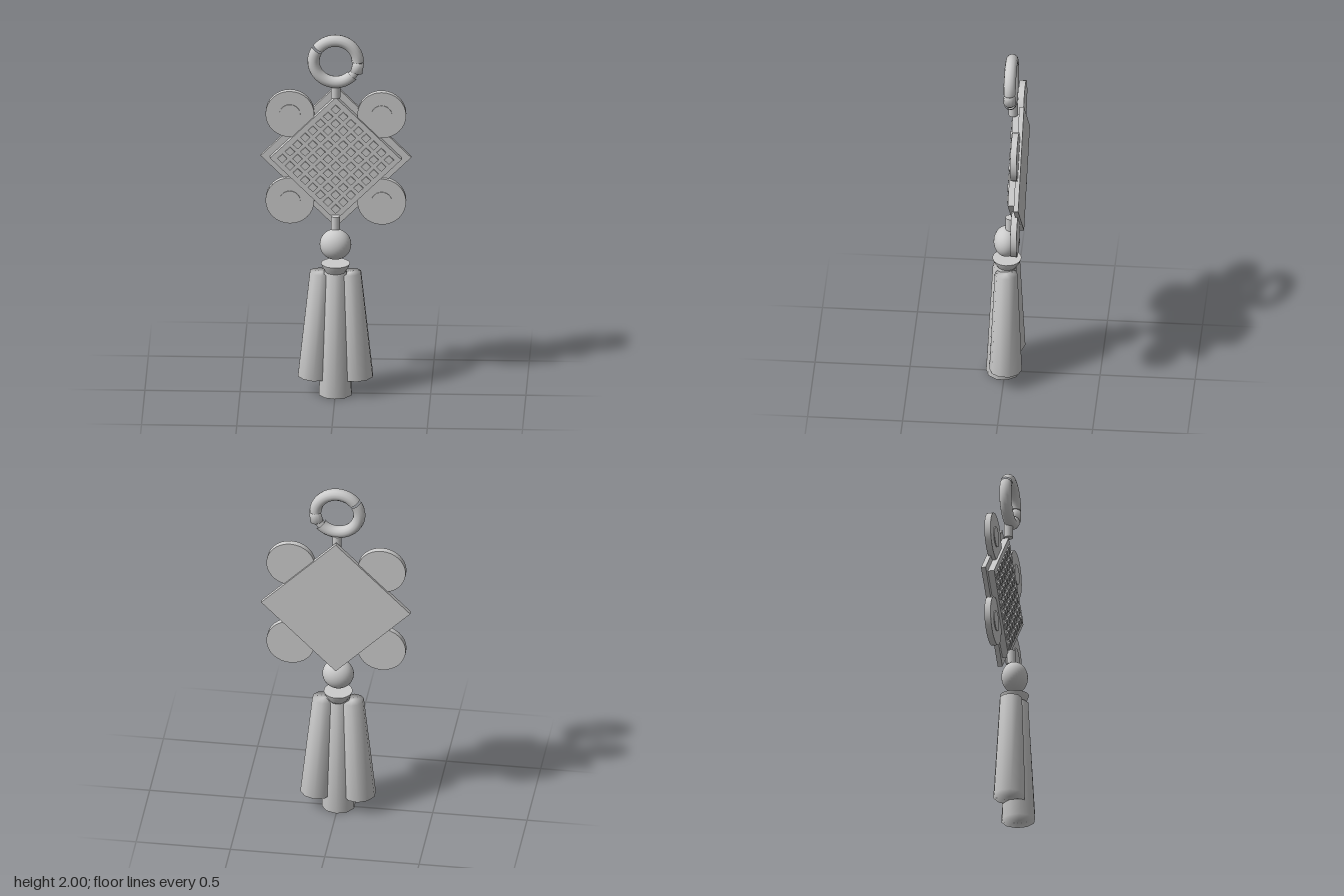
import * as THREE from 'three';
import { mergeVertices } from 'three/addons/utils/BufferGeometryUtils.js';

const grey = new THREE.MeshStandardMaterial({ color: 0xcccccc });
grey.name = 'plain grey';

export function createModel() {
  const group = new THREE.Group();
  group.name = 'tasselCharm';

  const add = (name, geometry, x, y, z, parent = group) => {
    const mesh = new THREE.Mesh(geometry, grey);
    mesh.name = name;
    mesh.position.set(x, y, z);
    parent.add(mesh);
    return mesh;
  };
  // Shares normals across the rims for soft ends
  const soften = (geometry) => {
    geometry.deleteAttribute('normal');
    geometry.deleteAttribute('uv');
    const merged = mergeVertices(geometry, 1e-4);
    merged.computeVertexNormals();
    return merged;
  };

  // Diamond panel: back plate, raised face and a grid of small studs
  const panel = new THREE.Group();
  panel.name = 'diamondPanel';
  panel.position.y = 1.3;
  panel.rotation.z = Math.PI / 4;
  group.add(panel);
  add('backPlate', new THREE.BoxGeometry(0.559, 0.559, 0.025), 0, 0, -0.0875, panel);
  add('raisedFace', new THREE.BoxGeometry(0.488, 0.488, 0.035), 0, 0, -0.0585, panel);
  const stud = new THREE.BoxGeometry(0.036, 0.036, 0.012);
  const count = 8, pitch = 0.0565;
  for (let i = 0; i < count; i++) {
    for (let j = 0; j < count; j++) {
      add('stud', stud, (i - 3.5) * pitch, (j - 3.5) * pitch, -0.039, panel);
    }
  }

  // Four round lobes with raised centres
  const disc = new THREE.CylinderGeometry(0.128, 0.128, 0.033, 32).rotateX(Math.PI / 2);
  const boss = new THREE.CylinderGeometry(0.055, 0.055, 0.012, 24).rotateX(Math.PI / 2);
  for (const sx of [-1, 1]) {
    for (const sy of [-1, 1]) {
      add('lobe', disc, sx * 0.241, 1.3 + sy * 0.243, -0.0715);
      add('lobeCentre', boss, sx * 0.241, 1.3 + sy * 0.243, -0.056);
    }
  }

  // Split ring: two arcs and a short clasp
  const ring = new THREE.Group();
  ring.name = 'ring';
  ring.position.set(0, 1.852, -0.033);
  group.add(ring);
  const rad = THREE.MathUtils.degToRad;
  const arc = (name, from, to, tube) => {
    const geometry = new THREE.TorusGeometry(0.116, tube, 12, 28, rad(to - from));
    add(name, geometry, 0, 0, 0, ring).rotation.z = rad(from);
    // End discs close the arc
    for (const [angle, side] of [[from, 1], [to, -1]]) {
      const a = rad(angle);
      const end = add('arcEnd', new THREE.CircleGeometry(tube, 12),
        0.116 * Math.cos(a), 0.116 * Math.sin(a), 0, ring);
      end.lookAt(end.position.clone().add(
        new THREE.Vector3(Math.sin(a) * side, -Math.cos(a) * side, 0)));
    }
  };
  arc('upperArc', 0, 142, 0.032);
  arc('lowerArc', 147, 320, 0.032);
  arc('claspLink', 318, 362, 0.024);
  const clasp = add('clasp', soften(new THREE.CylinderGeometry(0.03, 0.033, 0.055, 10)),
    0.115, -0.032, 0, ring);
  clasp.rotation.z = rad(-12);

  // Short stems joining ring, panel and bead
  const stem = new THREE.CylinderGeometry(0.024, 0.024, 0.075, 16);
  add('upperStem', stem, 0, 1.682, -0.043);
  add('lowerStem', stem, 0, 0.948, -0.026);

  // Bead and flared cap
  add('bead', new THREE.SphereGeometry(0.083, 32, 20), 0, 0.833, -0.009).scale.z = 0.83;
  const capProfile = [[0, 0.727], [0.076, 0.727], [0.076, 0.727], [0.068, 0.705],
    [0.054, 0.684], [0.05, 0.674], [0, 0.674]]
    .map(([r, y]) => new THREE.Vector2(r, y)).reverse();
  add('tasselCap', new THREE.LatheGeometry(capProfile, 24), 0, 0, -0.01);

  // Tapered strand between two points
  const strand = (name, top, bottom, rTop, rBottom) => {
    const a = new THREE.Vector3(...top), b = new THREE.Vector3(...bottom);
    const geometry = soften(new THREE.CylinderGeometry(rTop, rBottom, a.distanceTo(b), 10));
    const mid = a.clone().add(b).multiplyScalar(0.5);
    const mesh = add(name, geometry, mid.x, mid.y, mid.z);
    mesh.quaternion.setFromUnitVectors(new THREE.Vector3(0, 1, 0), a.sub(b).normalize());
  };
  strand('middleStrand', [0, 0.68, 0.002], [0, 0.002, 0.01], 0.062, 0.09);
  for (const s of [-1, 1]) {
    strand('sideStrand', [s * 0.077, 0.676, -0.012], [s * 0.115, 0.092, -0.012], 0.06, 0.086);
  }

  return group;
}
